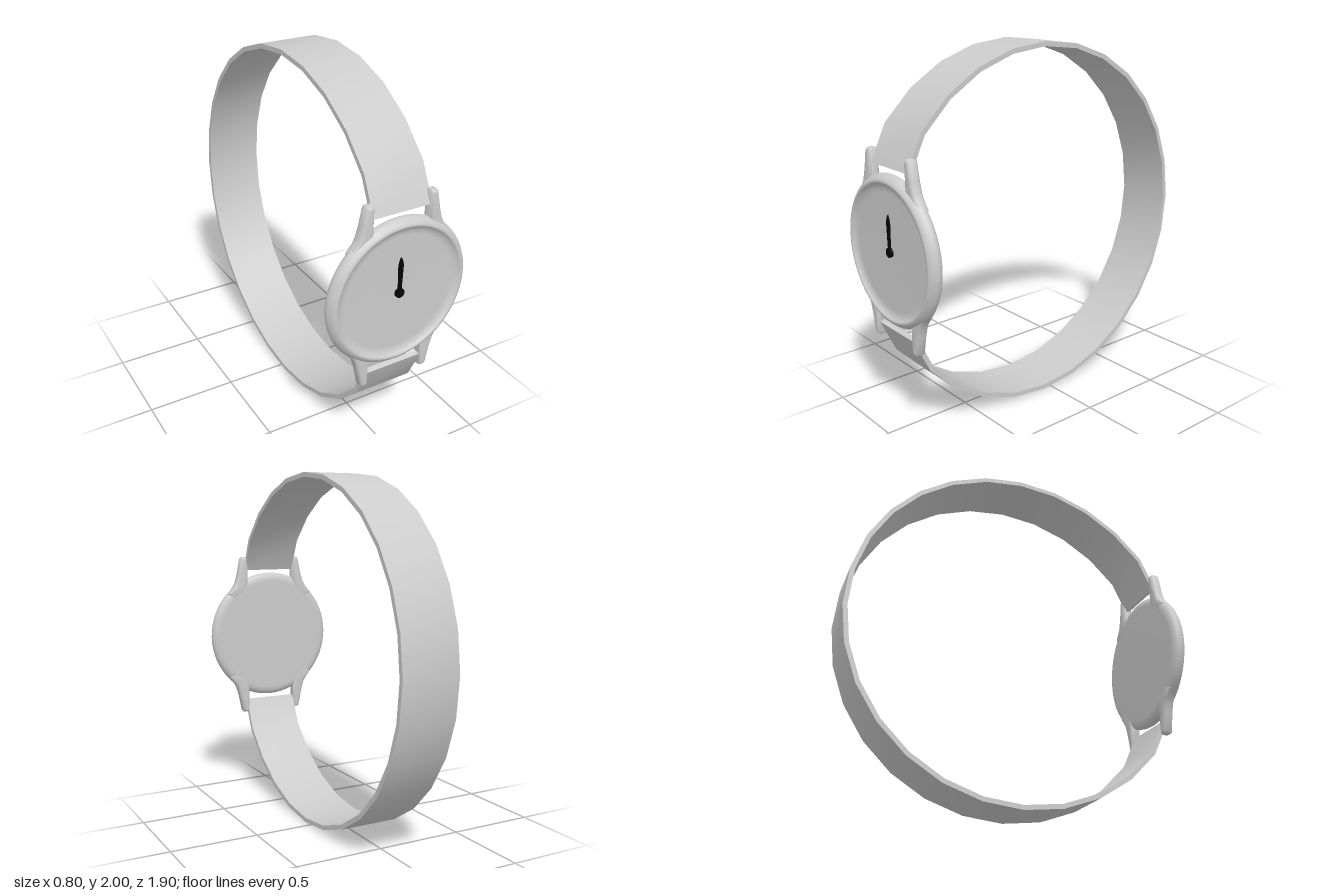
import * as THREE from 'three';
import { toCreasedNormals } from 'three/addons/utils/BufferGeometryUtils.js';

const V = (x, y) => new THREE.Vector2(x, y);
const grey = new THREE.MeshStandardMaterial({ color: 0xcccccc });
const black = new THREE.MeshStandardMaterial({ color: 0x050505 });

function part(name, geometry, material = grey) {
  const mesh = new THREE.Mesh(geometry, material);
  mesh.name = name;
  return mesh;
}

// Open band: 28-sided ring in the z/y plane, with a gap at the watch case
function strapGeometry() {
  const outer = [], inner = [];
  const step = (Math.PI * 2) / 28;
  for (let i = 2; i <= 26; i++) {
    const a = i * step;
    const end = i === 2 || i === 26;
    const ring = (r, endZ) => V(end ? endZ : 0.05 + r * Math.cos(a), 1 + r * Math.sin(a));
    outer.push(ring(1, 0.922));
    inner.push(ring(0.974, 0.897));
  }
  const shape = new THREE.Shape([...outer, ...inner.reverse()]);
  const geo = new THREE.ExtrudeGeometry(shape, { depth: 0.33, bevelEnabled: false });
  geo.rotateY(-Math.PI / 2).translate(0.17, 0, 0);
  return toCreasedNormals(geo, 0.5);
}

// Round case with a raised rim and a shallow recessed dial
function caseGeometry() {
  const profile = [
    [0, 0.873], [0.35, 0.873], [0.372, 0.876], [0.388, 0.883], [0.398, 0.894],
    [0.402, 0.906], [0.399, 0.92], [0.391, 0.934], [0.38, 0.945], [0.37, 0.951],
    [0.361, 0.953], [0.356, 0.947], [0.346, 0.938], [0.33, 0.932], [0.31, 0.929], [0, 0.928],
  ].map(([r, z]) => V(r, z));
  const geo = new THREE.LatheGeometry(profile, 64);
  geo.rotateX(Math.PI / 2).translate(0, 1, 0);
  return geo;
}

// Tapered lug with rounded edges; sx and sy choose the corner
function lugGeometry(sx, sy) {
  const outline = [
    [0.158, 0.3], [0.157, 0.495], [0.164, 0.506], [0.194, 0.506], [0.203, 0.495],
    [0.222, 0.4], [0.238, 0.345], [0.252, 0.318], [0.29, 0.27], [0.25, 0.23],
  ].map(([x, y]) => V(sx * x, 1 + sy * y));
  const geo = new THREE.ExtrudeGeometry(new THREE.Shape(outline), {
    depth: 0.016, bevelThickness: 0.022, bevelSize: 0.018, bevelOffset: -0.018, bevelSegments: 4,
  });
  geo.translate(0, 0, 0.895);
  return toCreasedNormals(geo, 0.9);
}

// Slim pointed hand
function handGeometry() {
  const outline = [
    [-0.009, 0], [0.009, 0], [0.014, 0.155], [0.009, 0.178],
    [0, 0.198], [-0.009, 0.178], [-0.014, 0.155],
  ].map(([x, y]) => V(x, 1 + y));
  const geo = new THREE.ExtrudeGeometry(new THREE.Shape(outline), { depth: 0.007, bevelEnabled: false });
  geo.translate(0, 0, 0.932);
  return geo;
}

export function createModel() {
  const watch = new THREE.Group();
  watch.name = 'wristwatch';
  watch.add(part('strap', strapGeometry()), part('case', caseGeometry()));

  const lugs = new THREE.Group();
  lugs.name = 'lugs';
  for (const sx of [-1, 1]) {
    for (const sy of [-1, 1]) {
      lugs.add(part(`${sy > 0 ? 'upper' : 'lower'}${sx > 0 ? 'Left' : 'Right'}Lug`, lugGeometry(sx, sy)));
    }
  }
  watch.add(lugs);

  const hub = new THREE.CylinderGeometry(0.025, 0.025, 0.016, 24);
  hub.rotateX(Math.PI / 2).translate(0, 1, 0.935);
  watch.add(part('hand', handGeometry(), black), part('handHub', hub, black));
  return watch;
}
